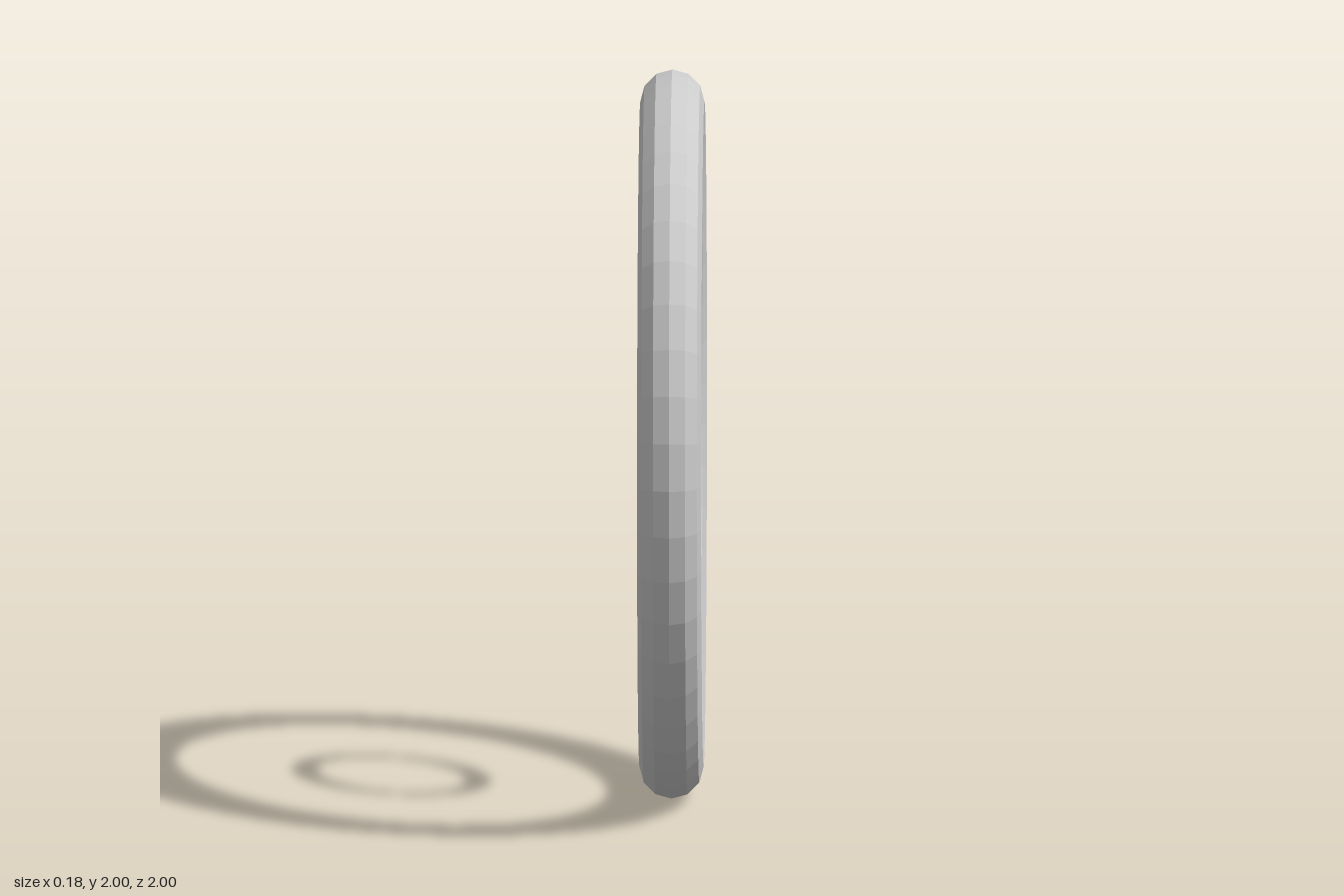
import * as THREE from 'three';

export function createModel() {
  const group = new THREE.Group();
  const material = new THREE.MeshStandardMaterial({ color: 0xcccccc, flatShading: true });

  // Upright ring facing sideways, centred at mid height
  const addRing = (name, radius, tube) => {
    const geometry = new THREE.TorusGeometry(radius, tube, 12, 48);
    geometry.rotateY(Math.PI / 2);
    const ring = new THREE.Mesh(geometry, material);
    ring.name = name;
    ring.position.y = 1;
    group.add(ring);
  };

  addRing('outerRing', 0.912, 0.088); // thick rim
  addRing('innerRing', 0.311, 0.028); // thin concentric ring

  return group;
}
